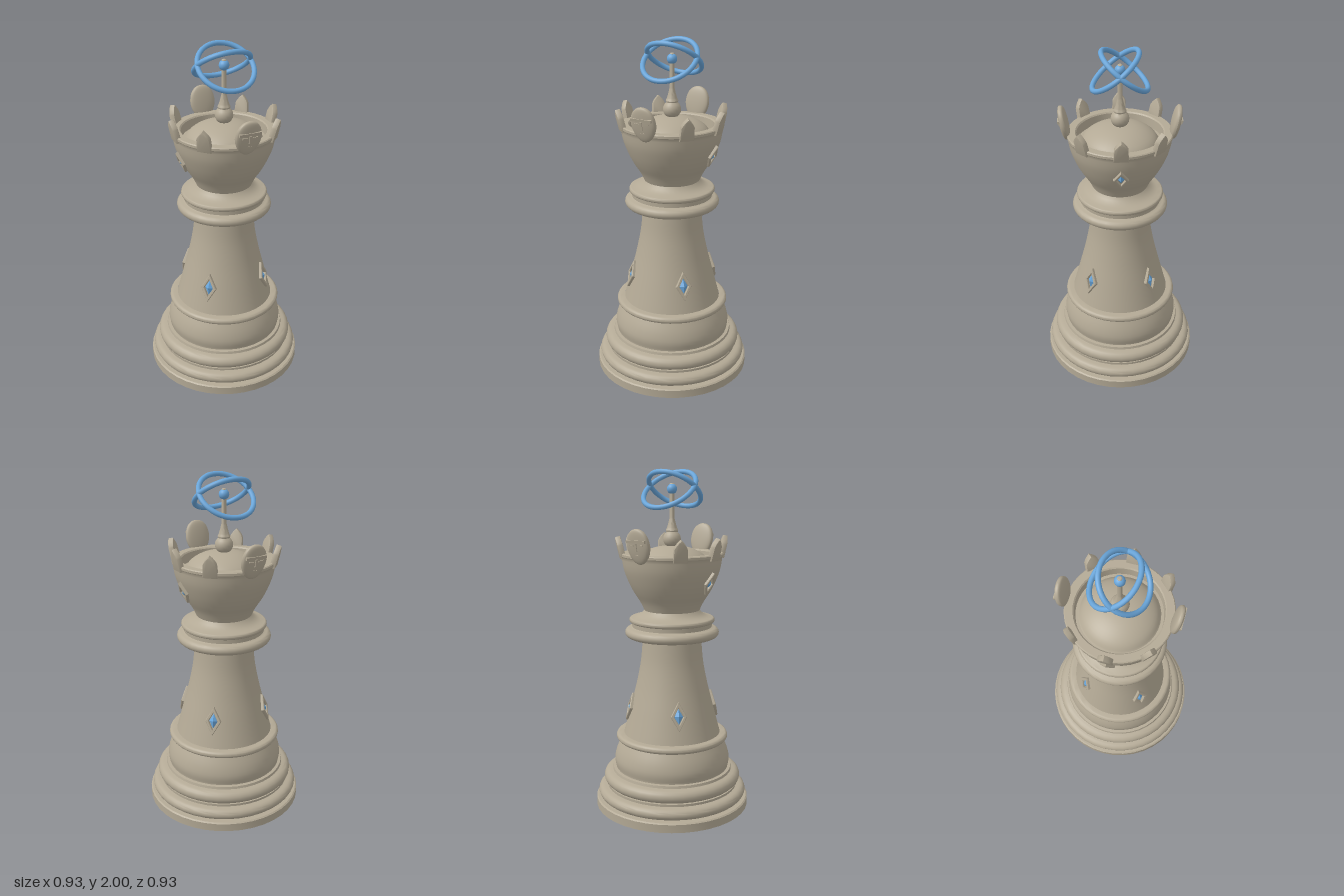
import * as THREE from 'three';
import { toCreasedNormals } from 'three/addons/utils/BufferGeometryUtils.js';

const stone = new THREE.MeshStandardMaterial({ color: 0xb3a995 });
stone.name = 'stone';
const blue = new THREE.MeshStandardMaterial({ color: 0x6aa6da });
blue.name = 'blue enamel';

function mesh(name, geometry, material, parent) {
  const m = new THREE.Mesh(geometry, material);
  m.name = name;
  parent.add(m);
  return m;
}

// Half-ellipse moulding for a turned profile, from bottom to top
function bead(r, y, rx, ry) {
  const pts = [];
  for (let i = 0; i <= 10; i++) {
    const a = -Math.PI / 2 + (Math.PI * i) / 10;
    pts.push([r + rx * Math.cos(a), y + ry * Math.sin(a)]);
  }
  return pts;
}

// Smooth curve through a few profile points
function sweep(points, n = 16) {
  const curve = new THREE.SplineCurve(points.map(p => new THREE.Vector2(...p)));
  return curve.getPoints(n).map(p => [p.x, p.y]);
}

function turned(name, profile, parent, sides = 40) {
  const g = new THREE.LatheGeometry(profile.map(p => new THREE.Vector2(...p)), sides);
  return mesh(name, toCreasedNormals(g, 0.6), stone, parent);
}

// Pivot on the outside of the piece: angle around, radius, height, outward lean
function mount(name, angle, r, y, lean, parent) {
  const pivot = new THREE.Group();
  pivot.name = name;
  pivot.rotation.order = 'YXZ';
  pivot.rotation.set(lean, angle, 0);
  pivot.position.set(Math.sin(angle) * r, y, Math.cos(angle) * r);
  parent.add(pivot);
  return pivot;
}

function polygon(points, Type = THREE.Shape) {
  return new Type(points.map(p => new THREE.Vector2(...p)));
}
const rhombus = (w, h) => [[0, -h], [w, 0], [0, h], [-w, 0]];

// Diamond frame with a faceted gem inside
function jewel(parent, w, h) {
  const shape = polygon(rhombus(w, h));
  shape.holes.push(polygon(rhombus(w * 0.58, h * 0.62).reverse(), THREE.Path));
  const frame = new THREE.ExtrudeGeometry(shape, {
    depth: 0.03, bevelEnabled: true, bevelThickness: 0.004, bevelSize: 0.003, bevelOffset: -0.003, bevelSegments: 1,
  });
  frame.translate(0, 0, -0.022);
  mesh('jewelFrame', frame, stone, parent);
  const gem = new THREE.ConeGeometry(1, 0.022, 4).toNonIndexed();
  gem.rotateX(Math.PI / 2);
  gem.scale(w * 0.64, h * 0.68, 1);
  gem.translate(0, 0, 0.003);
  gem.computeVertexNormals();
  mesh('gem', gem, blue, parent);
}

// Pointed battlement with soft edges
function battlement(parent) {
  const w = 0.036;
  const s = new THREE.Shape();
  s.moveTo(-w, -0.06);
  s.lineTo(w, -0.06);
  s.lineTo(w * 0.9, 0.012);
  s.quadraticCurveTo(w * 0.65, 0.035, 0, 0.056);
  s.quadraticCurveTo(-w * 0.65, 0.035, -w * 0.9, 0.012);
  s.closePath();
  const g = new THREE.ExtrudeGeometry(s, {
    depth: 0.022, bevelThickness: 0.005, bevelSize: 0.005, bevelSegments: 2, curveSegments: 5,
  });
  g.translate(0, 0, -0.011);
  mesh('battlement', toCreasedNormals(g, 0.6), stone, parent);
}

// Oval mask with brow, eyes, nose and mouth
function mask(parent) {
  const g = new THREE.SphereGeometry(1, 28, 20);
  const p = g.attributes.position;
  for (let i = 0; i < p.count; i++) {
    const x = p.getX(i), y = p.getY(i), z = p.getZ(i);
    const taper = y < 0 ? 1 + 0.12 * y : 1 + 0.12 * y * y;
    p.setXYZ(i, x * 0.076 * taper, y * 0.1, Math.sign(z) * Math.pow(Math.abs(z), 0.65) * 0.024);
  }
  g.computeVertexNormals();
  mesh('mask', g, stone, parent);
  const feature = (name, w, h, d, x, y, z, turn = 0) => {
    const m = mesh(name, new THREE.BoxGeometry(w, h, d), stone, parent);
    m.position.set(x, y, z);
    m.rotation.z = turn;
  };
  feature('brow', 0.126, 0.016, 0.014, 0, 0.034, 0.019);
  feature('nose', 0.012, 0.045, 0.01, 0, 0.002, 0.024);
  feature('mouth', 0.026, 0.005, 0.006, 0, -0.042, 0.021);
  for (const s of [-1, 1]) feature('eye', 0.03, 0.006, 0.006, s * 0.03, 0.012, 0.023, s * 0.1);
}

export function createModel() {
  const model = new THREE.Group();
  model.name = 'chessPiece';

  // Stepped foot
  turned('base', [
    [0, 0], [0.463, 0], [0.463, 0.048], [0.455, 0.054],
    ...bead(0.41, 0.09, 0.038, 0.034), [0.395, 0.126], [0.395, 0.14],
    ...bead(0.37, 0.18, 0.043, 0.04), [0.362, 0.222], [0.358, 0.236], [0.34, 0.238],
    ...sweep([[0.34, 0.24], [0.347, 0.29], [0.333, 0.35], [0.305, 0.412]], 10),
    ...bead(0.315, 0.431, 0.021, 0.02), [0.29, 0.452],
  ], model);

  // Flared shaft
  turned('shaft', sweep([
    [0.292, 0.44], [0.25, 0.6], [0.212, 0.75], [0.185, 0.89], [0.173, 1.03],
  ], 20), model);

  // Collar rings
  turned('collar', [
    [0.165, 1.028], [0.2, 1.03], ...bead(0.243, 1.064, 0.034, 0.03), [0.235, 1.098], [0.235, 1.122],
    ...bead(0.238, 1.138, 0.013, 0.015), [0.215, 1.158], [0.2, 1.164], [0.175, 1.178], [0.16, 1.2],
  ], model);

  // Goblet crown with a sunken dome
  turned('crown', [
    ...sweep([[0.162, 1.195], [0.186, 1.245], [0.221, 1.3], [0.252, 1.36], [0.28, 1.435], [0.292, 1.505]], 18),
    [0.297, 1.512], [0.297, 1.525], [0.292, 1.53], [0.25, 1.53], [0.243, 1.523], [0.238, 1.47], [0.222, 1.47],
    ...sweep([[0.22, 1.472], [0.195, 1.508], [0.145, 1.541], [0.08, 1.563], [0, 1.572]], 12),
  ], model);

  // Finial and rod
  turned('finial', [
    ...bead(0, 1.607, 0.052, 0.05).slice(0, 9), [0.034, 1.648], [0.036, 1.656], [0.033, 1.663],
    ...sweep([[0.031, 1.666], [0.022, 1.695], [0.014, 1.73]], 6),
    [0.013, 1.918], [0.009, 1.922], [0, 1.923],
  ], model, 24);
  mesh('finialBall', new THREE.SphereGeometry(0.029, 20, 14), blue, model).position.y = 1.89;

  // Two crossed rings
  for (const s of [-1, 1]) {
    const ring = mesh('ring', new THREE.TorusGeometry(0.159, 0.0145, 10, 48), blue, model);
    ring.position.set(0, 1.888, s * 0.025);
    ring.rotation.x = Math.PI / 2 + s * 0.665;
  }

  // Masks front and back, battlements between them
  for (let i = 0; i < 8; i++) {
    const angle = (i * Math.PI) / 4;
    if (i % 4 === 0) mask(mount('maskMount', angle, 0.309, 1.583, 0.2, model));
    else battlement(mount('battlementMount', angle, 0.3, 1.563, 0.24, model));
  }

  // Jewels on the shaft and on the sides of the crown
  for (let i = 0; i < 4; i++) {
    jewel(mount('shaftJewel', Math.PI / 4 + (i * Math.PI) / 2, 0.25, 0.613, -0.25, model), 0.047, 0.085);
  }
  for (const s of [-1, 1]) {
    jewel(mount('crownJewel', (s * Math.PI) / 2, 0.257, 1.368, 0.43, model), 0.042, 0.07);
  }
  return model;
}
